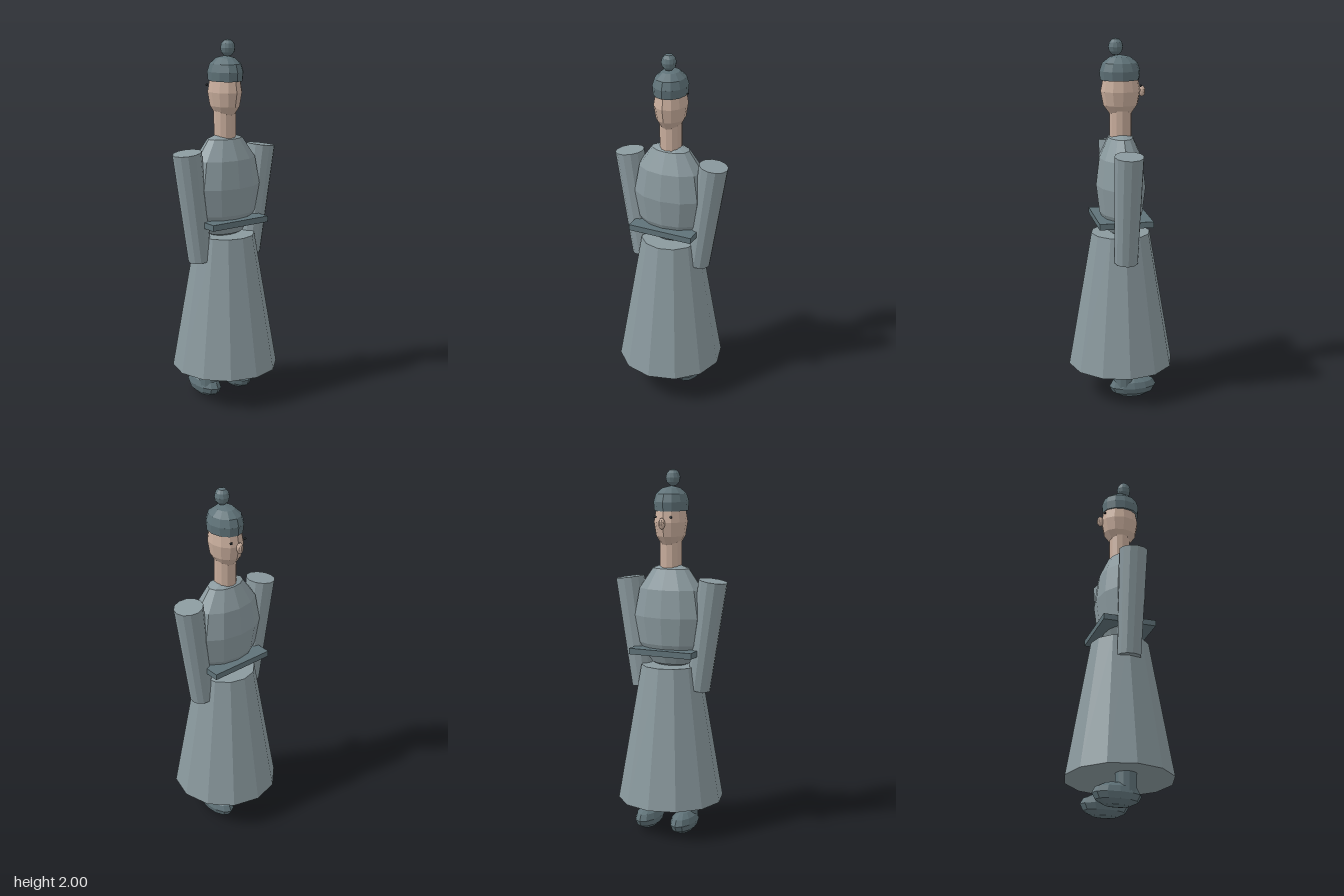
import * as THREE from 'three';

const paint = (color) => new THREE.MeshStandardMaterial({ color, flatShading: true });

export function createModel() {
  const model = new THREE.Group();
  model.name = 'robedFigure';
  const robe = paint(0x8a999e);
  const dark = paint(0x5f7278);
  const skin = paint(0xc8ad9c);
  const eyeColor = paint(0x33383c);

  const add = (name, geometry, material, x, y, z) => {
    const mesh = new THREE.Mesh(geometry, material);
    mesh.name = name;
    mesh.position.set(x, y, z);
    model.add(mesh);
    return mesh;
  };
  // Low-poly ellipsoid with its poles on the y axis
  const ellipsoid = (rx, ry, rz, sides = 12, rows = 6) =>
    new THREE.SphereGeometry(1, sides, rows).scale(rx, ry, rz);
  const tube = (top, bottom, height) => new THREE.CylinderGeometry(top, bottom, height, 12);

  // Robe: flared skirt, rounded torso and flat belt
  add('skirt', tube(0.163, 0.294, 0.76), robe, 0, 0.56, 0);
  add('torso', ellipsoid(0.216, 0.3, 0.135), robe, 0, 1.21, 0);
  add('belt', new THREE.BoxGeometry(0.37, 0.033, 0.294), dark, 0, 1.02, 0);

  // Neck, head and nose; the face looks toward -z
  add('neck', tube(0.06, 0.06, 0.18), skin, 0, 1.53, 0);
  add('head', ellipsoid(0.087, 0.15, 0.108), skin, 0, 1.72, 0);
  add('nose', ellipsoid(0.018, 0.03, 0.019, 10, 8), skin, 0, 1.716, -0.116);

  // Cap: band, dome and pompon
  add('capBand', tube(0.092, 0.088, 0.048).scale(1, 1, 1.2), dark, 0, 1.804, 0.004);
  const dome = new THREE.SphereGeometry(1, 12, 3, 0, Math.PI * 2, 0, Math.PI / 2);
  add('capDome', dome.scale(0.092, 0.084, 0.11), dark, 0, 1.828, 0.004);
  add('pompon', ellipsoid(0.04, 0.046, 0.04), dark, 0, 1.954, 0.026);

  // Paired parts
  for (const [side, s] of [['left', 1], ['right', -1]]) {
    add(side + 'Eye', ellipsoid(0.009, 0.007, 0.006, 8), eyeColor, s * 0.046, 1.75, -0.101);

    const sleeve = add(side + 'Sleeve', tube(0.079, 0.065, 0.605), robe, s * 0.208, 1.112, 0);
    sleeve.rotation.z = -s * 0.135;
    const hand = add(side + 'Hand', ellipsoid(0.018, 0.045, 0.018, 8), skin, s * 0.168, 0.81, 0);
    hand.rotation.z = -s * 0.135;

    add(side + 'Leg', tube(0.058, 0.058, 0.2), dark, s * 0.108, 0.165, 0);
    add(side + 'Shoe', ellipsoid(0.067, 0.066, 0.133), dark, s * 0.108, 0.066, -0.049);
  }
  return model;
}
